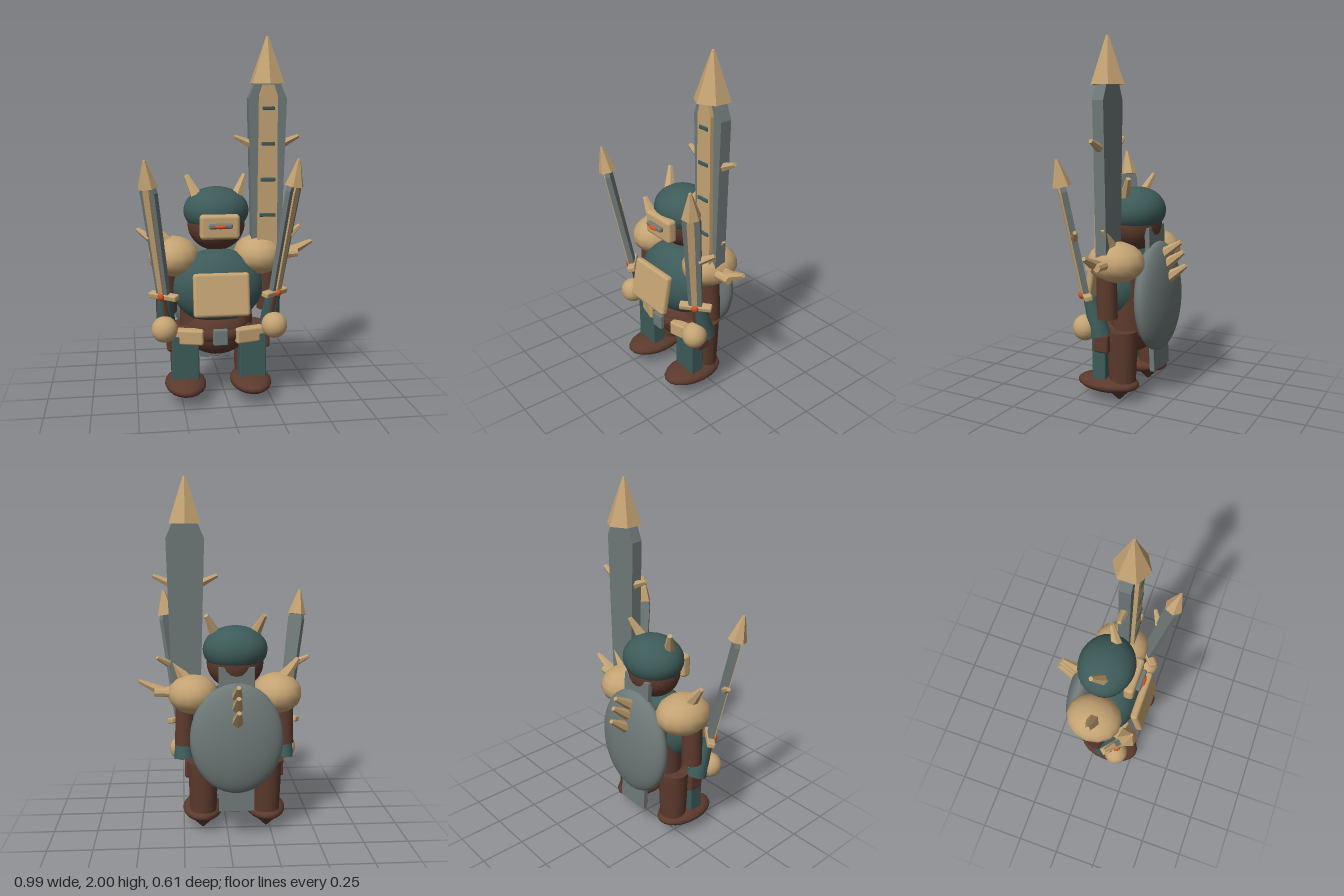
import * as THREE from 'three';
import { RoundedBoxGeometry } from 'three/addons/geometries/RoundedBoxGeometry.js';

const mat = (name, color) => {
  const m = new THREE.MeshStandardMaterial({ color });
  m.name = name;
  return m;
};

export function createModel() {
  const bone = mat('bone', 0xc4a373), teal = mat('dark teal', 0x3d5b59), leather = mat('brown leather', 0x5c3a2d),
    steel = mat('grey steel', 0x6e7977), glow = mat('orange glow', 0xd2521f);
  const model = new THREE.Group();
  model.name = 'armouredWarrior';
  const body = new THREE.Group();
  body.name = 'body';
  body.position.x = -0.045;
  model.add(body);

  const add = (parent, name, geo, m, p = [0, 0, 0], r = [0, 0, 0]) => {
    const mesh = new THREE.Mesh(geo, m);
    mesh.name = name;
    mesh.position.set(...p);
    mesh.rotation.set(...r);
    parent.add(mesh);
    return mesh;
  };
  const flat = (geo) => {
    const g = geo.toNonIndexed();
    g.computeVertexNormals();
    return g;
  };
  const ball = (parent, name, m, p, rx, ry, rz, seg = 28, r) =>
    add(parent, name, new THREE.SphereGeometry(1, seg, Math.round(seg * 0.65)).scale(rx, ry, rz), m, p, r);
  const box = (parent, name, m, p, s, round = 0, r) =>
    add(parent, name, round ? new RoundedBoxGeometry(...s, 3, round) : new THREE.BoxGeometry(...s), m, p, r);
  // Tapered rod between two points
  const rod = (parent, name, m, a, b, r0, r1, sides = 6) => {
    const from = new THREE.Vector3(...a), to = new THREE.Vector3(...b), dir = to.clone().sub(from);
    const geo = new THREE.CylinderGeometry(r1, r0, dir.length(), sides);
    const mesh = add(parent, name, sides < 9 ? flat(geo) : geo, m);
    mesh.position.copy(from).add(to).multiplyScalar(0.5);
    mesh.quaternion.setFromUnitVectors(new THREE.Vector3(0, 1, 0), dir.normalize());
    return mesh;
  };
  // Upright blade plate: widens upward, then chamfers in at the top
  const plate = (parent, name, m, w0, w1, wTop, y0, y1, chamfer, depth, z) => {
    const s = new THREE.Shape([[-w0, y0], [w0, y0], [w1, y1 - chamfer], [wTop, y1], [-wTop, y1], [-w1, y1 - chamfer]]
      .map(([x, y]) => new THREE.Vector2(x, y)));
    return add(parent, name, new THREE.ExtrudeGeometry(s, { depth, bevelEnabled: false }), m, [0, 0, z - depth / 2]);
  };

  // Torso, belly and belt
  add(body, 'torso', new THREE.CylinderGeometry(0.19, 0.21, 0.4, 28).scale(1, 1, 0.66), leather, [0, 0.59, 0]);
  ball(body, 'belly', leather, [0, 0.39, 0.03], 0.185, 0.15, 0.15);
  ball(body, 'chestArmour', teal, [0, 0.64, 0.06], 0.255, 0.212, 0.16);
  add(body, 'belt', new THREE.TorusGeometry(0.17, 0.04, 12, 32).rotateX(Math.PI / 2).scale(1, 1, 0.75), leather, [0, 0.385, 0.03]);
  box(body, 'beltBuckle', steel, [0, 0.385, 0.198], [0.08, 0.09, 0.03], 0.008);
  box(body, 'chestPlate', bone, [0, 0.635, 0.242], [0.305, 0.235, 0.045], 0.018, [-0.19, 0, 0]);

  // Head, helmet and visor
  ball(body, 'head', leather, [0, 0.985, 0.01], 0.16, 0.15, 0.14);
  ball(body, 'helmet', teal, [0, 1.06, 0.008], 0.182, 0.132, 0.161);
  box(body, 'facePlate', bone, [0, 0.992, 0.167], [0.215, 0.135, 0.06], 0.02);
  box(body, 'visor', steel, [0, 1.002, 0.21], [0.128, 0.028, 0.028], 0.01);
  ball(body, 'visorGlow', glow, [0, 1, 0.222], 0.037, 0.011, 0.015, 16);

  // Hand sword, built upright from its guard
  const handSword = (s) => {
    const g = new THREE.Group();
    g.name = s > 0 ? 'leftSword' : 'rightSword';
    g.position.set(s * 0.305, 0.62, 0.165);
    g.rotation.set(0.2, s * 0.7, 0, 'YXZ');
    plate(g, 'swordBlade', steel, 0.036, 0.047, 0.035, 0, 0.625, 0.04, 0.03, 0);
    plate(g, 'swordInlay', bone, 0.015, 0.02, 0.014, 0.02, 0.61, 0.03, 0.014, 0.019);
    add(g, 'swordTip', flat(new THREE.CylinderGeometry(0.008, 0.053, 0.145, 6)), bone, [0, 0.685, 0]);
    box(g, 'swordGuard', bone, [0, 0, 0], [0.18, 0.032, 0.045], 0.008);
    ball(g, 'guardGem', glow, [0, 0.005, 0.026], 0.021, 0.021, 0.015, 14);
    rod(g, 'swordGrip', leather, [0, -0.2, 0], [0, 0, 0], 0.018, 0.018, 10);
    rod(g, 'swordSpike', bone, [s * 0.035, 0.33, 0], [s * 0.115, 0.375, 0], 0.022, 0.011);
    body.add(g);
  };

  // Mirrored limbs, armour and swords
  for (const s of [-1, 1]) {
    const side = s > 0 ? 'left' : 'right';
    rod(body, side + 'HelmetHorn', bone, [s * 0.105, 1.13, 0.03], [s * 0.163, 1.253, -0.022], 0.036, 0.014);
    ball(body, side + 'Pauldron', bone, [s * 0.238, 0.805, 0.015], 0.142, 0.113, 0.163, 14);
    rod(body, side + 'PauldronSpike', bone, [s * 0.265, 0.87, 0.025], [s * 0.36, 1.0, 0.025], 0.046, 0.014);
    rod(body, side + 'UpperArm', leather, [s * 0.28, 0.78, 0.05], [s * 0.285, 0.5, 0.045], 0.055, 0.058, 18);
    rod(body, side + 'Forearm', teal, [s * 0.3, 0.61, 0.14], [s * 0.29, 0.4, 0.085], 0.04, 0.058, 16);
    ball(body, side + 'Hand', bone, [s * 0.303, 0.435, 0.172], 0.072, 0.072, 0.07, 18);
    rod(body, side + 'Leg', leather, [s * 0.183, 0.09, 0.005], [s * 0.183, 0.41, 0.005], 0.075, 0.088, 20);
    box(body, side + 'ShinGuard', teal, [s * 0.188, 0.25, 0.115], [0.15, 0.27, 0.085], 0.008);
    box(body, side + 'HipPlate', bone, [s * 0.17, 0.378, 0.14], [0.17, 0.085, 0.06], 0.012, [0, s * 0.25, 0]);
    box(body, side + 'HipPouch', leather, [s * 0.258, 0.345, 0.09], [0.06, 0.105, 0.09], 0.012);
    ball(body, side + 'Boot', leather, [s * 0.185, 0.095, 0.093], 0.116, 0.05, 0.187, 18);
    rod(body, side + 'SoleSpike', leather, [s * 0.185, 0.07, 0.025], [s * 0.185, 0, 0.025], 0.075, 0.004);
    handSword(s);
  }

  // Long side spike on the left pauldron
  for (const z of [0.012, 0.06]) {
    rod(body, 'sideSpikeRoot', bone, [0.32, 0.81, z], [0.455, 0.815, z], 0.027, 0.022, 8);
  }
  rod(body, 'sideSpike', bone, [0.4, 0.81, 0.037], [0.54, 0.878, 0.037], 0.034, 0.012);

  // Great sword rising behind the left shoulder
  const great = new THREE.Group();
  great.name = 'greatSword';
  great.position.set(0.23, 0, 0.04);
  model.add(great);
  plate(great, 'greatBlade', steel, 0.08, 0.105, 0.07, 0.78, 1.75, 0.08, 0.064, 0);
  plate(great, 'greatInlay', bone, 0.055, 0.05, 0.03, 0.85, 1.745, 0.06, 0.024, 0.042);
  add(great, 'greatTip', flat(new THREE.CylinderGeometry(0.008, 0.1, 0.25, 6)), bone, [0, 1.875, 0]);
  [1.04, 1.235, 1.43, 1.62].forEach((y, i) =>
    box(great, 'inlayBand', teal, [0, y, 0.055], [0.09 - i * 0.008, 0.02, 0.014], 0.005));
  for (const s of [-1, 1]) {
    rod(great, 'greatSpike', bone, [s * 0.085, 1.425, 0], [s * 0.178, 1.468, 0], 0.026, 0.012);
  }

  // Back shield with plank and spikes
  ball(body, 'backShield', steel, [0, 0.58, -0.13], 0.26, 0.312, 0.086, 36, [0.04, 0, 0]);
  box(body, 'backPlank', steel, [0, 0.57, -0.12], [0.2, 0.82, 0.03], 0.004, [0.045, 0, 0]);
  for (const [y, z, ty, tz] of [[0.81, -0.14, 0.9, -0.265], [0.755, -0.16, 0.845, -0.282], [0.685, -0.18, 0.77, -0.297]]) {
    rod(body, 'shieldSpike', bone, [0, y, z], [0, ty, tz], 0.037, 0.013);
  }
  return model;
}
